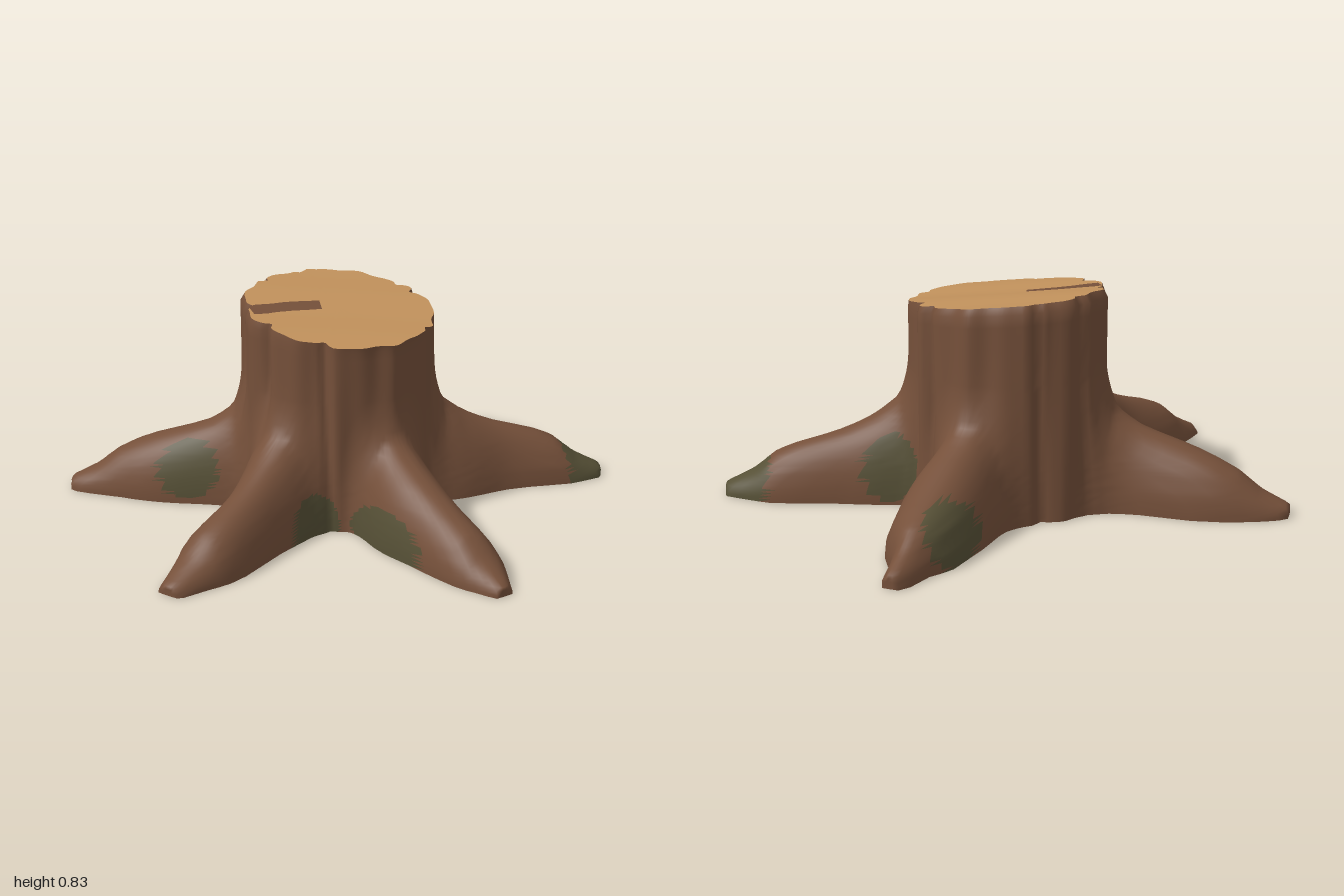
import * as THREE from 'three';

const CX = -0.18, CZ = -0.025;
const HALF = 20; // samples per half sector around each root

// Roots: direction, length, half-width profile (distance, value)
const WIDE = [[0.28, 0.19], [0.42, 0.155], [0.8, 0.13], [0.95, 0.1], [1.03, 0.065], [1.1, 0.035]];
const SLIM = [[0.28, 0.19], [0.42, 0.15], [0.66, 0.125], [0.9, 0.11], [1.02, 0.075], [1.1, 0.045]];
const STUB = [[0.28, 0.19], [0.42, 0.16], [0.8, 0.145], [0.86, 0.11], [0.93, 0.06], [1.1, 0.035]];
const HEIGHT = [[0.28, 0.62], [0.36, 0.46], [0.41, 0.375], [0.5, 0.315], [0.62, 0.265],
  [0.8, 0.2], [0.88, 0.165], [0.97, 0.095], [1.05, 0.055], [1.1, 0.035]];
const ROOTS = [
  { angle: 0.06, length: 1.09, width: WIDE },
  { angle: 1.217, length: 1.085, width: SLIM },
  { angle: 2.264, length: 1.07, width: WIDE },
  { angle: 3.987, length: 1.06, width: STUB },
  { angle: 5.163, length: 1.075, width: SLIM },
];

// Moss patches: centre and radii
const MOSS = [
  [-0.47, 0.13, 0.47, 0.11, 0.12, 0.16],
  [0.36, 0.04, 0.2, 0.21, 0.13, 0.15],
  [0.28, 0.08, -0.98, 0.2, 0.2, 0.16],
  [-0.1, 0.14, -0.47, 0.09, 0.13, 0.12],
  [-0.75, 0.1, -0.52, 0.14, 0.12, 0.15],
  [0.08, 0.03, 0.3, 0.1, 0.14, 0.12],
];

// Smooth interpolation through a short profile
function profile(points, s) {
  if (s <= points[0][0]) return points[0][1];
  for (let i = 1; i < points.length; i++) {
    const [s0, v0] = points[i - 1], [s1, v1] = points[i];
    if (s <= s1) return v0 + (v1 - v0) * (s - s0) / (s1 - s0);
  }
  return points[points.length - 1][1];
}

function smoothMax(a, b, k) {
  const h = Math.max(k - Math.abs(a - b), 0) / k;
  return Math.max(a, b) + h * h * k / 4;
}

function wrap(a) {
  return Math.atan2(Math.sin(a), Math.cos(a));
}

// Farthest reach of one root in a given direction and height
function rootReach(root, k, theta, y) {
  const phi = wrap(theta - root.angle);
  if (Math.abs(phi) > 0.75) return 0;
  for (let r = root.length; r > 0.28; r -= 0.002) {
    const s = r * Math.cos(phi);
    const side = r * Math.sin(phi) + 0.012 * Math.sin(8 * s + k * 2);
    const w = profile(root.width, s) * (1 + 0.05 * Math.sin(15 * s + k * 1.7));
    const h = profile(HEIGHT, s) * (1 + 0.025 * Math.sin(13 * s + k * 2.3));
    if (Math.pow(Math.abs(side) / w, 2.2) + Math.pow(y / h, 2) < 1) return r;
  }
  return 0;
}

// Fluted trunk with a few deep bark grooves
const GROOVES = [0.75, 1.45, 2.0, 2.75, 3.3, 4.5, 4.75, 5.7];
function trunkRadius(theta, y) {
  let r = 0.37 + 0.006 * Math.sin(11 * theta + 2 * y) + 0.004 * Math.sin(19 * theta + 1);
  for (const g of GROOVES) r -= 0.025 * Math.exp(-Math.pow(wrap(theta - g - 0.08 * (y - 0.5)) / 0.05, 2));
  return r;
}

function reach(theta, y) {
  let r = trunkRadius(theta, y);
  ROOTS.forEach((root, k) => { r = smoothMax(r, rootReach(root, k, theta, y), 0.07); });
  return r;
}

// Sloping cut surface
function cutHeight(x, z) {
  return 0.785 - 0.125 * (x - CX) + 0.02 * (z - CZ) + 0.004 * Math.sin(14 * x + 9 * z);
}

// Angles packed closely along the crest of every root
function makeAngles() {
  const out = [];
  ROOTS.forEach((root, k) => {
    const prev = ROOTS[(k + 4) % 5].angle - (k === 0 ? Math.PI * 2 : 0);
    const next = ROOTS[(k + 1) % 5].angle + (k === 4 ? Math.PI * 2 : 0);
    for (let i = -HALF; i < HALF; i++) {
      const gap = i < 0 ? root.angle - prev : next - root.angle;
      out.push(root.angle + Math.sign(i) * Math.pow(Math.abs(i) / HALF, 1.4) * gap / 2);
    }
  });
  return out;
}

function buildGeometry(positions, groups) {
  const g = new THREE.BufferGeometry();
  g.setAttribute('position', new THREE.Float32BufferAttribute(positions, 3));
  g.setIndex(groups.flat());
  let start = 0;
  groups.forEach((list, m) => { g.addGroup(start, list.length, m); start += list.length; });
  g.computeVertexNormals();
  return g;
}

export function createModel() {
  const bark = new THREE.MeshStandardMaterial({ color: 0x75503a });
  bark.name = 'bark';
  const moss = new THREE.MeshStandardMaterial({ color: 0x565036 });
  moss.name = 'moss';
  const wood = new THREE.MeshStandardMaterial({ color: 0xc2925c });
  wood.name = 'cutWood';
  const model = new THREE.Group();
  model.name = 'treeStump';
  const add = (name, geometry, material) => {
    const mesh = new THREE.Mesh(geometry, material);
    mesh.name = name;
    model.add(mesh);
  };

  const angles = makeAngles(), n = angles.length;
  const low = [];
  for (let y = 0; y < 0.2; y += 0.0125) low.push(y);
  for (let y = 0.2; y < 0.53; y += 0.025) low.push(y);
  const high = [0.25, 0.5, 0.75, 0.9, 1];
  const rows = low.length + high.length;

  // Trunk and roots as one flowing skin
  const skin = [];
  for (let j = 0; j < rows; j++) {
    for (const a of angles) {
      const t = j < low.length ? 0 : high[j - low.length];
      const base = low[Math.min(j, low.length - 1)];
      let r = reach(a, t ? base + 0.26 * t : base);
      if (t === 1) r -= 0.008 - 0.012 * Math.cos(a);
      const x = CX + r * Math.cos(a), z = CZ + r * Math.sin(a);
      skin.push(x, t ? base + (cutHeight(x, z) - base) * t : base, z);
    }
  }
  const faces = [[], []];
  const isMoss = (ids) => {
    const c = [0, 1, 2].map((d) => ids.reduce((sum, i) => sum + skin[i * 3 + d], 0) / 3);
    return MOSS.some((m) => c.reduce((sum, v, d) => sum + ((v - m[d]) / m[d + 3]) ** 2, 0) < 1);
  };
  for (let j = 0; j < rows - 1; j++) {
    for (let i = 0; i < n; i++) {
      const a = j * n + i, b = j * n + (i + 1) % n, c = a + n, d = b + n;
      for (const tri of [[a, c, b], [b, c, d]]) faces[isMoss(tri) ? 1 : 0].push(...tri);
    }
  }
  add('trunkAndRoots', buildGeometry(skin, faces), [bark, moss]);

  // Cut top, in rings from the rim to the centre
  const cap = [], capFaces = [];
  const rim = (rows - 1) * n * 3;
  const rings = 6;
  for (let k = 0; k <= rings; k++) {
    for (let i = 0; i < n; i++) {
      const f = 1 - k / rings;
      const x = CX + (skin[rim + i * 3] - CX) * f, z = CZ + (skin[rim + i * 3 + 2] - CZ) * f;
      cap.push(x, cutHeight(x, z), z);
      if (k === rings) continue;
      const a = k * n + i, b = k * n + (i + 1) % n;
      capFaces.push(a, a + n, b);
      if (k < rings - 1) capFaces.push(b, a + n, b + n);
    }
  }
  add('cutTop', buildGeometry(cap, [capFaces]), wood);

  // Split in the cut top, laid just above the wood
  const edges = [[-0.24, 0.02, -0.18, 0.05], [-0.265, 0.08, -0.195, 0.1], [-0.29, 0.15, -0.215, 0.16],
    [-0.3, 0.2, -0.23, 0.22], [-0.32, 0.26, -0.235, 0.27], [-0.32, 0.295, -0.25, 0.315]];
  const split = [], splitFaces = [];
  edges.forEach(([x0, z0, x1, z1], i) => {
    split.push(x0, cutHeight(x0, z0) + 0.005, z0, x1, cutHeight(x1, z1) + 0.005, z1);
    const a = i * 2;
    if (i < edges.length - 1) splitFaces.push(a, a + 2, a + 1, a + 1, a + 2, a + 3);
  });
  add('split', buildGeometry(split, [splitFaces]), bark);

  // Underside: mossy middle, bark beneath the roots
  const under = [CX, 0, CZ], underFaces = [[], []];
  for (let i = 0; i < n; i++) {
    const x = skin[i * 3] - CX, z = skin[i * 3 + 2] - CZ;
    const f = Math.min(1, 0.55 / Math.hypot(x, z));
    under.push(CX + x * f, 0, CZ + z * f, CX + x, 0, CZ + z);
    const a = 1 + i * 2, b = 1 + ((i + 1) % n) * 2;
    underFaces[1].push(0, a, b);
    underFaces[0].push(a, a + 1, b, b, a + 1, b + 1);
  }
  add('underside', buildGeometry(under, underFaces), [bark, moss]);
  return model;
}
